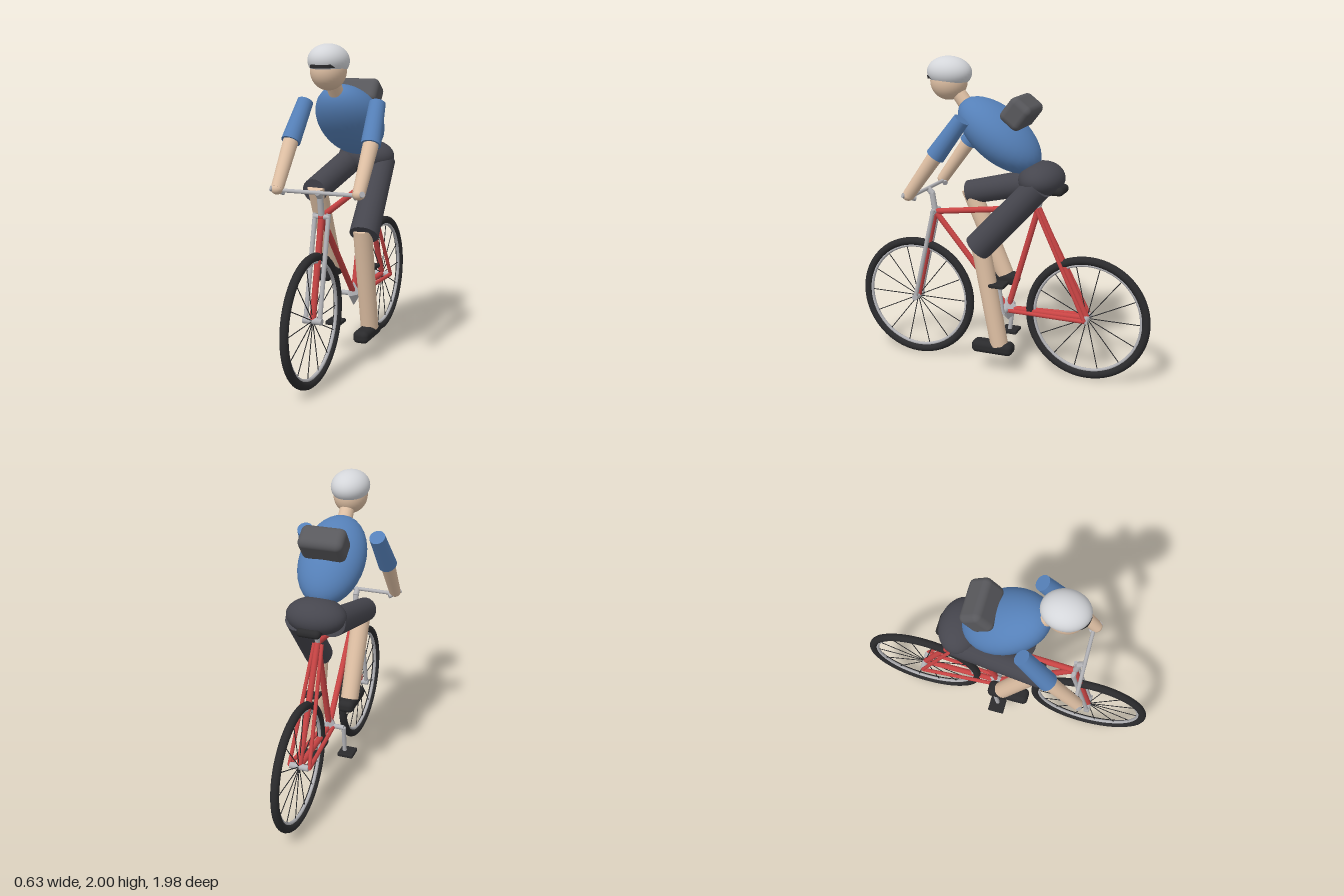
import * as THREE from 'three';
import { RoundedBoxGeometry } from 'three/addons/geometries/RoundedBoxGeometry.js';

const mat = (color) => new THREE.MeshStandardMaterial({ color });
const V = (p) => new THREE.Vector3(...p);

export function createModel() {
  const model = new THREE.Group();
  const red = mat(0xc84444), metal = mat(0xb4b4b8), black = mat(0x2b2b2d), dark = mat(0x46464e);
  const skin = mat(0xdfc0a4), blue = mat(0x5580b8), pale = mat(0xd4d6da), grey = mat(0x58585c);

  const add = (parent, name, geometry, material, pos = [0, 0, 0], rotX = 0, scale = [1, 1, 1]) => {
    const m = new THREE.Mesh(geometry, material);
    m.name = name;
    m.position.set(...pos);
    m.rotation.x = rotX;
    m.scale.set(...scale);
    parent.add(m);
    return m;
  };
  // Tapered rod from point a to point b
  const rod = (parent, name, a, b, ra, rb, material, sides = 16) => {
    const va = V(a), vb = V(b), d = vb.clone().sub(va);
    const m = add(parent, name, new THREE.CylinderGeometry(rb, ra, d.length(), sides), material);
    m.position.copy(va).add(vb).multiplyScalar(0.5);
    m.quaternion.setFromUnitVectors(new THREE.Vector3(0, 1, 0), d.normalize());
    return m;
  };
  const ball = (parent, name, pos, radii, material, rotX = 0) =>
    add(parent, name, new THREE.SphereGeometry(1, 32, 24), material, pos, rotX, radii);

  const bicycle = new THREE.Group();
  bicycle.name = 'bicycle';
  const rider = new THREE.Group();
  rider.name = 'rider';
  model.add(bicycle, rider);

  // Wheels
  const hubY = 0.405, frontZ = 0.587, rearZ = -0.583;
  for (const [name, z] of [['frontWheel', frontZ], ['rearWheel', rearZ]]) {
    const wheel = new THREE.Group();
    wheel.name = name;
    wheel.position.set(0, hubY, z);
    bicycle.add(wheel);
    const tyre = add(wheel, 'tyre', new THREE.TorusGeometry(0.377, 0.026, 14, 56), black);
    const rim = add(wheel, 'rim', new THREE.TorusGeometry(0.348, 0.011, 8, 56), metal);
    tyre.rotation.y = rim.rotation.y = Math.PI / 2;
    rod(wheel, 'hub', [-0.06, 0, 0], [0.06, 0, 0], 0.02, 0.02, metal);
    for (let i = 0; i < 14; i++) {
      const a = (i / 14) * Math.PI * 2;
      rod(wheel, 'spoke', [0, 0, 0], [0, Math.sin(a) * 0.345, Math.cos(a) * 0.345], 0.003, 0.003, black, 5);
    }
  }

  // Frame
  const head = [0, 1.0, 0.45], seat = [0, 1.09, -0.255], bracket = [0, 0.4, -0.055];
  const frontHub = [0, hubY, frontZ], rearHub = [0, hubY, rearZ];
  const tubes = [
    ['topTube', head, seat], ['downTube', head, bracket], ['seatTube', seat, bracket],
    ['steeringTube', head, frontHub], ['rearTube', seat, rearHub], ['lowerTube', bracket, rearHub],
  ];
  for (const [name, a, b] of tubes) rod(bicycle, name, a, b, 0.019, 0.019, red);
  ball(bicycle, 'headJoint', head, [0.023, 0.023, 0.023], red);
  for (const s of [-1, 1]) {
    rod(bicycle, 'seatStay', [s * 0.025, 1.08, -0.25], [s * 0.065, hubY, rearZ], 0.012, 0.012, red);
    rod(bicycle, 'chainStay', [s * 0.03, 0.395, -0.055], [s * 0.065, hubY, rearZ], 0.013, 0.013, red);
    rod(bicycle, 'forkLeg', [s * 0.043, 1.02, 0.445], [s * 0.045, hubY, frontZ], 0.014, 0.014, metal);
  }
  rod(bicycle, 'forkCrown', [-0.05, 1.0, 0.45], [0.05, 1.0, 0.45], 0.016, 0.016, metal);

  // Saddle, post, stem and handlebar
  rod(bicycle, 'seatPost', seat, [0, 1.21, -0.29], 0.016, 0.016, metal);
  add(bicycle, 'saddle', new RoundedBoxGeometry(0.15, 0.055, 0.27, 4, 0.026), black, [0, 1.215, -0.295]);
  rod(bicycle, 'stem', [0, 0.99, 0.45], [0, 1.12, 0.47], 0.019, 0.019, metal);
  rod(bicycle, 'stemClamp', [0, 1.115, 0.465], [0, 1.15, 0.5], 0.019, 0.019, metal);
  rod(bicycle, 'handlebar', [-0.25, 1.15, 0.5], [0.25, 1.15, 0.5], 0.012, 0.012, metal);
  for (const s of [-1, 1])
    rod(bicycle, 'grip', [s * 0.225, 1.135, 0.48], [s * 0.29, 1.165, 0.535], 0.017, 0.017, metal);

  // Cranks and pedals: left one up, right one down
  add(bicycle, 'crankBoss', new THREE.OctahedronGeometry(0.08), metal, bracket, 0, [0.6, 1, 1]);
  rod(bicycle, 'crankAxle', [-0.1, 0.4, -0.055], [0.1, 0.4, -0.055], 0.016, 0.016, metal);
  for (const s of [-1, 1]) {
    const y = 0.4 + s * 0.197;
    rod(bicycle, 'crankArm', [s * 0.1, 0.4, -0.055], [s * 0.1, y, -0.03], 0.014, 0.014, metal);
    add(bicycle, 'pedal', new RoundedBoxGeometry(0.105, 0.026, 0.11, 2, 0.008), black, [s * 0.118, y, -0.03]);
  }

  // Torso, hips and backpack
  const lean = 0.66;
  ball(rider, 'torso', [0, 1.53, 0.003], [0.205, 0.16, 0.312], blue, -lean);
  ball(rider, 'hips', [0, 1.275, -0.275], [0.187, 0.11, 0.14], dark);
  add(rider, 'backpack', new RoundedBoxGeometry(0.28, 0.175, 0.155, 5, 0.04), grey, [0, 1.68, -0.14], -lean);

  // Head, helmet and visor
  rod(rider, 'neck', [0, 1.66, 0.19], [0, 1.82, 0.31], 0.047, 0.045, skin);
  ball(rider, 'head', [0, 1.845, 0.34], [0.106, 0.115, 0.118], skin);
  const shell = new THREE.SphereGeometry(1, 32, 16, 0, Math.PI * 2, 0, Math.PI * 0.68);
  const helmetMat = mat(0xd4d6da);
  helmetMat.side = THREE.DoubleSide;
  add(rider, 'helmet', shell, helmetMat, [0, 1.902, 0.335], -0.05, [0.12, 0.098, 0.143]);
  const brim = new THREE.Shape().moveTo(-0.085, 0).quadraticCurveTo(-0.07, 0.07, 0, 0.075)
    .quadraticCurveTo(0.07, 0.07, 0.085, 0).closePath();
  const brimGeo = new THREE.ExtrudeGeometry(brim, { depth: 0.02, bevelEnabled: false, curveSegments: 10 });
  add(rider, 'visor', brimGeo, black, [0, 1.885, 0.405], Math.PI / 2 + 0.06);

  // Arms
  for (const s of [-1, 1]) {
    const elbow = [s * 0.257, 1.42, 0.322], hand = [s * 0.258, 1.16, 0.51];
    rod(rider, 'sleeve', [s * 0.235, 1.65, 0.155], elbow, 0.05, 0.06, blue, 20);
    rod(rider, 'forearm', [s * 0.257, 1.45, 0.3], hand, 0.048, 0.038, skin, 20);
    ball(rider, 'hand', hand, [0.038, 0.034, 0.038], skin);
  }

  // Legs: left one stretched down, right one raised
  const legs = [
    { side: 'left', s: 1, knee: [0.13, 0.83, 0.1], ankle: [0.117, 0.19, -0.04], foot: [0.117, 0.17, 0.003] },
    { side: 'right', s: -1, knee: [-0.13, 1.115, 0.262], ankle: [-0.117, 0.59, 0.01], foot: [-0.117, 0.565, 0.05] },
  ];
  for (const { side, s, knee, ankle, foot } of legs) {
    rod(rider, side + 'Thigh', [s * 0.105, 1.25, -0.29], knee, 0.085, s > 0 ? 0.092 : 0.078, dark, 20);
    rod(rider, side + 'Calf', [s * 0.117, knee[1] + 0.03, knee[2] - 0.01], ankle, 0.06, 0.057, skin, 20);
    add(rider, side + 'Shoe', new RoundedBoxGeometry(0.102, 0.08, 0.275, 4, 0.032), black, foot);
  }
  return model;
}
